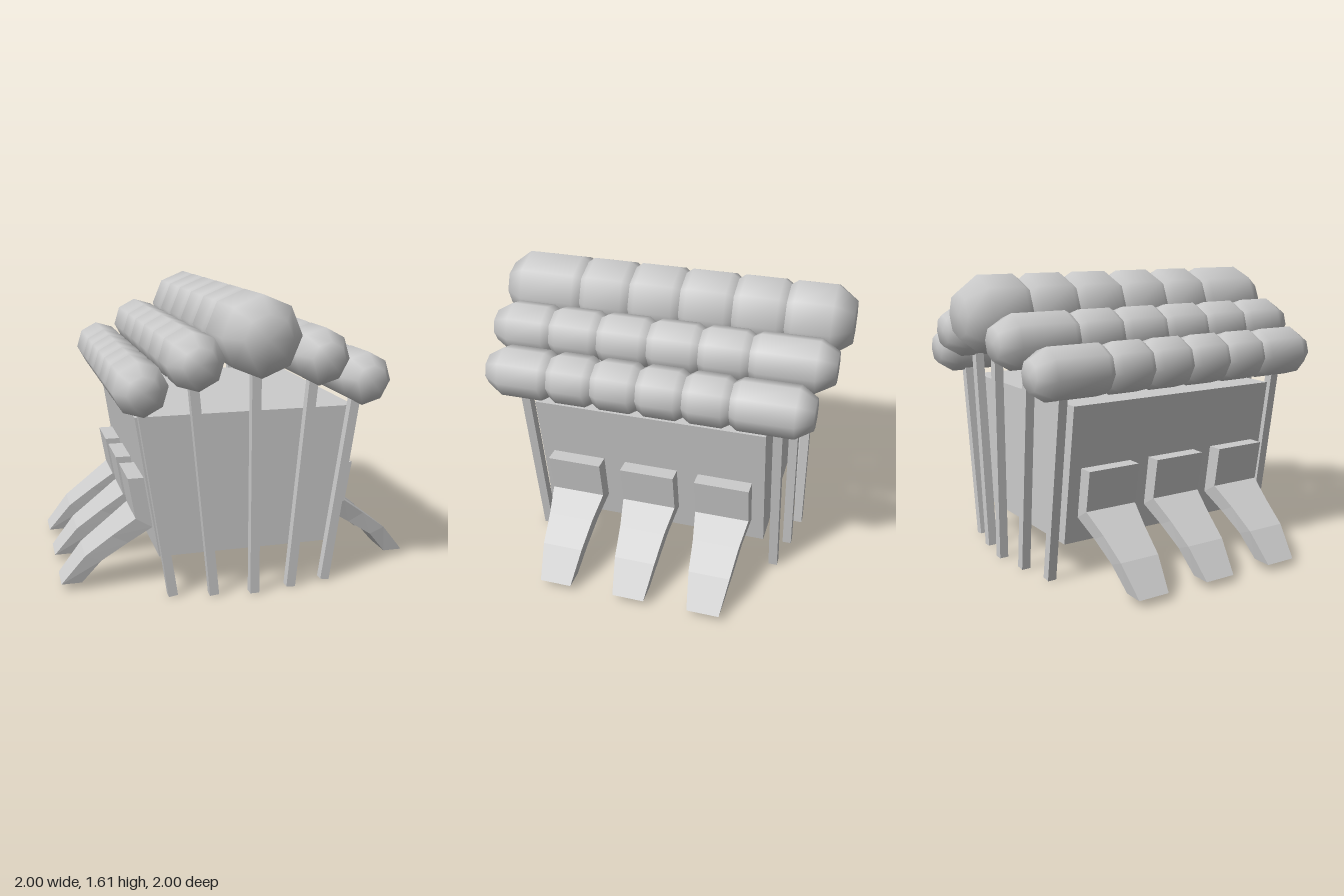
import * as THREE from 'three';

const smooth = new THREE.MeshStandardMaterial({ color: 0xcccccc });
const flat = new THREE.MeshStandardMaterial({ color: 0xcccccc, flatShading: true });

function add(parent, geometry, material, name) {
  const mesh = new THREE.Mesh(geometry, material);
  mesh.name = name;
  parent.add(mesh);
  return mesh;
}

// Eight-sided rounded lobe running along z, with bevelled ends
function lobe(r, z0, z1, cap) {
  const pts = [
    [0, z0], [r * 0.6, z0], [r, z0 + cap], [r, z1 - cap], [r * 0.6, z1], [0, z1],
  ].map(([x, y]) => new THREE.Vector2(x, y));
  return new THREE.LatheGeometry(pts, 8).rotateX(Math.PI / 2);
}

// Row of six overlapping lobes between two ends, joined at the given seams
function lobeRow(x, y, r, tilt, end, seams, cap, overlap) {
  const row = new THREE.Group();
  row.name = 'roofRow';
  const cuts = [-end - overlap, ...seams, end + overlap];
  for (let i = 0; i < cuts.length - 1; i++) {
    const z0 = i === 0 ? -end : cuts[i] - overlap;
    const z1 = i === cuts.length - 2 ? end : cuts[i + 1] + overlap;
    add(row, lobe(r, z0, z1, cap), smooth, 'roofLobe');
  }
  row.position.set(x, y, 0);
  row.rotation.z = tilt;
  return row;
}

// Square post leaning from (x0, 0) to (x1, top)
function post(parent, x0, x1, top, z) {
  const length = Math.hypot(x1 - x0, top);
  const mesh = add(parent, new THREE.BoxGeometry(0.05, length, 0.05), flat, 'post');
  mesh.position.set((x0 + x1) / 2, top / 2 + 0.003, z);
  mesh.rotation.z = -Math.atan2(x1 - x0, top);
}

// Curved foot lofted from four-cornered sections: outer x, y, inner x, y, half width
function footGeometry() {
  const sections = [
    [0.637, 0.625, 0.54, 0.625, 0.153],
    [0.60, 0.40, 0.51, 0.345, 0.153],
    [0.73, 0.305, 0.64, 0.26, 0.13],
    [0.87, 0.20, 0.785, 0.165, 0.115],
    [1.0, 0.04, 0.89, 0.04, 0.09],
  ];
  const pos = [], idx = [];
  for (const [ox, oy, ix, iy, w] of sections) {
    pos.push(ox, oy, -w, ox, oy, w, ix, iy, w, ix, iy, -w);
  }
  for (let i = 0; i < sections.length - 1; i++) {
    for (let k = 0; k < 4; k++) {
      const a = i * 4 + k, b = i * 4 + (k + 1) % 4;
      idx.push(a, b, b + 4, a, b + 4, a + 4);
    }
  }
  const e = (sections.length - 1) * 4;
  idx.push(0, 2, 1, 0, 3, 2, e, e + 1, e + 2, e, e + 2, e + 3);
  const g = new THREE.BufferGeometry();
  g.setAttribute('position', new THREE.Float32BufferAttribute(pos, 3));
  g.setIndex(idx);
  const out = g.toNonIndexed();
  out.computeVertexNormals();
  return out;
}

export function createModel() {
  const model = new THREE.Group();
  model.name = 'shelter';

  // Body: box narrowing towards the bottom
  const body = new THREE.BoxGeometry(2, 0.77, 1.3);
  const p = body.attributes.position;
  for (let i = 0; i < p.count; i++) p.setX(i, p.getX(i) * (p.getY(i) > 0 ? 0.605 : 0.487));
  body.computeVertexNormals();
  add(model, body, flat, 'body').position.y = 0.585;

  // Roof rows: tall middle row and two lower rows on each side
  model.add(lobeRow(0, 1.397, 0.21, 0, 1, [-0.64, -0.35, -0.05, 0.245, 0.535], 0.11, 0.07));
  for (const s of [-1, 1]) {
    model.add(lobeRow(s * 0.33, 1.28, 0.15, -s * 0.1, 0.96,
      [-0.51, -0.235, 0.05, 0.335, 0.615], 0.1, 0.06));
    model.add(lobeRow(s * 0.597, 1.145, 0.142, -s * 0.1, 0.896,
      [-0.47, -0.22, 0.03, 0.28, 0.53], 0.09, 0.05));
  }

  // Posts under both ends of every row
  for (const end of [-1, 1]) {
    post(model, 0, 0, 1.3, end * 0.785);
    for (const s of [-1, 1]) {
      post(model, s * 0.215, s * 0.328, 1.22, end * 0.755);
      post(model, s * 0.43, s * 0.588, 1.08, end * 0.71);
    }
  }

  // Three feet on each side
  const foot = footGeometry();
  for (const turn of [0, Math.PI]) {
    for (const z of [-0.427, 0, 0.43]) {
      const mesh = add(model, foot, flat, turn ? 'rightFoot' : 'leftFoot');
      mesh.position.z = z;
      mesh.rotation.y = turn;
    }
  }
  return model;
}
